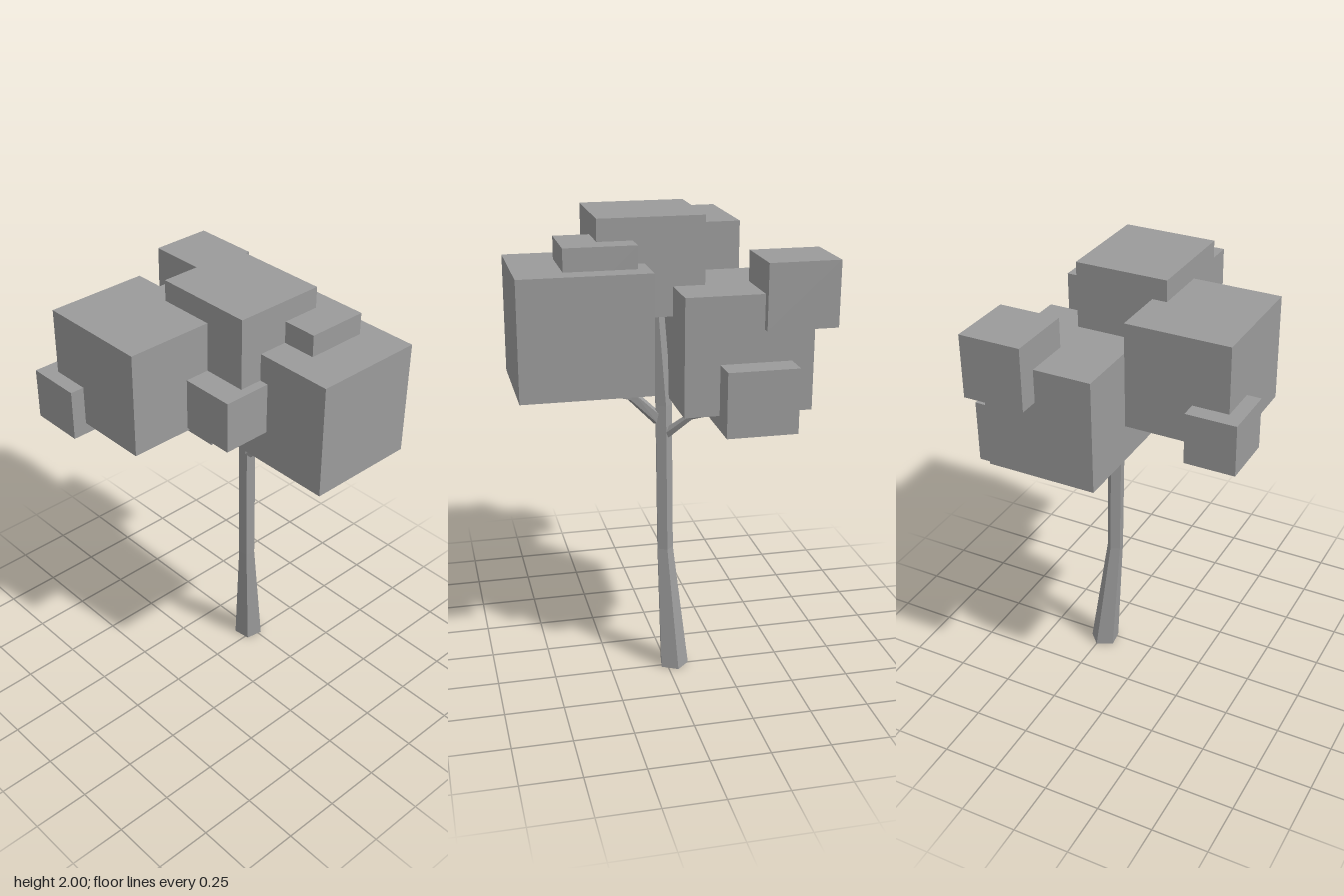
import * as THREE from 'three';

const material = new THREE.MeshStandardMaterial({ color: 0x9b9b9b, flatShading: true });

// Five-sided tapered limb through points [x, y, z, radius]; level keeps the rings horizontal
function limb(name, points, level = false) {
  const sides = 5, twist = 0.14, up = new THREE.Vector3(0, 1, 0);
  const centres = points.map(p => new THREE.Vector3(p[0], p[1], p[2]));
  const last = centres.length - 1;
  const rings = centres.map((c, i) => {
    const t = level ? up.clone()
      : centres[Math.min(i + 1, last)].clone().sub(centres[Math.max(i - 1, 0)]).normalize();
    const u = level ? new THREE.Vector3(1, 0, 0) : up.clone().addScaledVector(t, -up.dot(t)).normalize();
    const v = t.clone().cross(u);
    return Array.from({ length: sides }, (_, k) => {
      const a = k / sides * Math.PI * 2 + twist, r = points[i][3];
      return c.clone().addScaledVector(u, r * Math.cos(a)).addScaledVector(v, r * Math.sin(a));
    });
  });
  const corners = [];
  for (let k = 0; k < sides; k++) {
    const n = (k + 1) % sides;
    for (let i = 0; i < last; i++) {
      const a = rings[i], b = rings[i + 1];
      corners.push(a[k], a[n], b[n], a[k], b[n], b[k]);
    }
    // End caps
    corners.push(centres[0], rings[0][n], rings[0][k]);
    corners.push(centres[last], rings[last][k], rings[last][n]);
  }
  const geometry = new THREE.BufferGeometry().setFromPoints(corners);
  geometry.computeVertexNormals();
  const mesh = new THREE.Mesh(geometry, material);
  mesh.name = name;
  return mesh;
}

export function createModel() {
  const tree = new THREE.Group();
  tree.name = 'tree';

  // Leaning trunk with a flared foot
  tree.add(limb('trunk', [
    [0.237, 0, -0.031, 0.066],
    [0.187, 0.55, -0.001, 0.037],
    [0.172, 1.2, 0.004, 0.038],
    [0.162, 1.65, 0.038, 0.036],
  ], true));

  // Bent branches
  const branches = {
    leftwardBranch: [[0.15, 1.28, -0.015, 0.026], [-0.04, 1.385, -0.06, 0.024], [-0.22, 1.36, -0.09, 0.021], [-0.345, 1.435, -0.12, 0.017]],
    frontBranch: [[0.165, 1.13, 0.02, 0.028], [0.22, 1.265, 0.15, 0.026], [0.25, 1.32, 0.36, 0.018]],
    backBranch: [[0.19, 1.075, -0.01, 0.022], [0.25, 1.165, -0.1, 0.016], [0.33, 1.2, -0.18, 0.011]],
  };
  for (const [name, points] of Object.entries(branches)) tree.add(limb(name, points));

  // Leaf blocks: centre x, y, z and size; all share the same proportions
  const blocks = [
    [0.202, 1.572, 0.365, 0.483],
    [0.222, 1.475, -0.283, 0.481],
    [-0.297, 1.688, -0.145, 0.438],
    [0.058, 1.798, 0.07, 0.398],
    [0.223, 1.775, 0.292, 0.266],
    [0.363, 1.712, -0.488, 0.267],
    [0.441, 1.307, -0.31, 0.267],
    [-0.141, 1.589, 0.21, 0.218],
    [-0.47, 1.524, -0.338, 0.213],
  ];
  const foliage = new THREE.Group();
  foliage.name = 'foliage';
  for (const [x, y, z, s] of blocks) {
    const block = new THREE.Mesh(new THREE.BoxGeometry(s, s * 1.015, s * 1.105), material);
    block.name = 'leafBlock';
    block.position.set(x, y, z);
    foliage.add(block);
  }
  tree.add(foliage);
  return tree;
}
